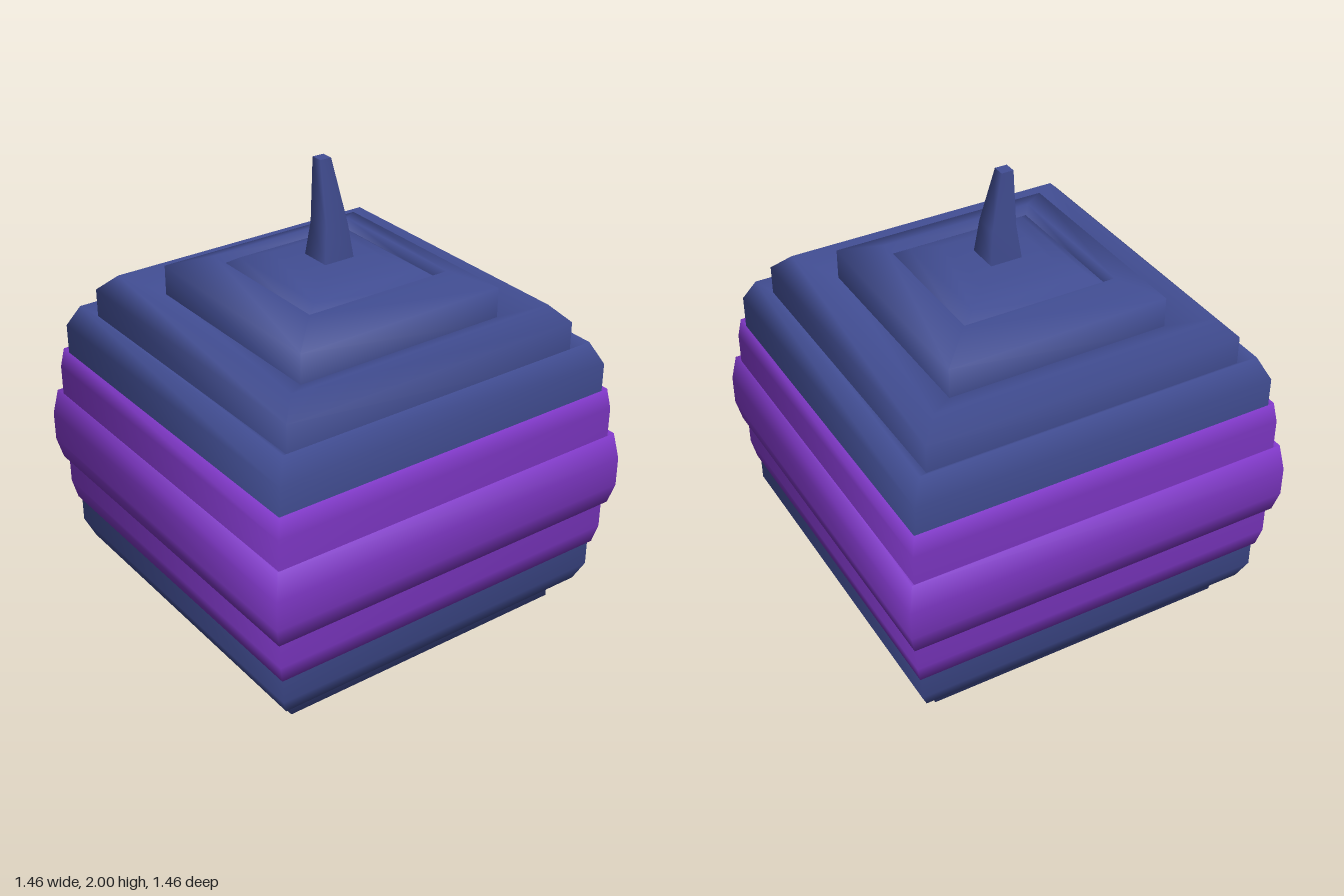
import * as THREE from 'three';

const blue = new THREE.MeshStandardMaterial({ color: 0x424e94, side: THREE.DoubleSide });
blue.name = 'dusk blue';
const purple = new THREE.MeshStandardMaterial({ color: 0x8239cb, side: THREE.DoubleSide });
purple.name = 'violet';

// Four-sided lathe: the profile lists [half width, height] from bottom to top
function squareLathe(profile) {
  const points = profile.map(([half, y]) => new THREE.Vector2(half * Math.SQRT2, y));
  return new THREE.LatheGeometry(points, 4, Math.PI / 4);
}

export function createModel() {
  const model = new THREE.Group();
  model.name = 'squareBandedLantern';

  function add(name, geometry, material) {
    const mesh = new THREE.Mesh(geometry, material);
    mesh.name = name;
    model.add(mesh);
    return mesh;
  }

  // Upper bands: each hangs behind the one below, its lip dips into a groove
  const upper = [
    // name, outer half, hidden bottom, shoulder y, lip half, lip y, groove half, groove y
    ['upperVioletBand', 0.70, 0.97, 1.15, 0.688, 1.225, 0.66, 1.17, purple],
    ['shoulderBand', 0.675, 1.14, 1.32, 0.635, 1.40, 0.57, 1.35, blue],
    ['upperBand', 0.59, 1.33, 1.47, 0.53, 1.53, 0.40, 1.465, blue],
    ['crownBand', 0.41, 1.45, 1.58, 0.285, 1.63, 0.26, 1.585, blue],
  ];
  for (const [name, half, bottom, shoulder, lip, lipY, groove, grooveY, mat] of upper) {
    add(name, squareLathe([[half, bottom], [half, shoulder], [lip, lipY], [groove, grooveY]]), mat);
  }

  // Widest band around the middle
  add('middleBand', squareLathe([
    [0.67, 0.81], [0.715, 0.765], [0.732, 0.84], [0.732, 0.95], [0.715, 1.05], [0.67, 1.01],
  ]), purple);

  // Lower bands, turned the other way up
  const lower = [
    ['lowerVioletBand', 0.70, 0.85, 0.66, 0.685, 0.59, 0.65, 0.64, purple],
    ['lowerBlueBand', 0.675, 0.67, 0.49, 0.645, 0.42, 0.56, 0.47, blue],
    ['taperBand', 0.58, 0.49, 0.33, 0.455, 0.23, 0.35, 0.265, blue],
    ['smallBand', 0.37, 0.28, 0.17, 0.28, 0.12, 0.20, 0.145, blue],
    ['lowestBand', 0.215, 0.16, 0.07, 0.125, 0.025, 0.08, 0.04, blue],
  ];
  for (const [name, half, top, shoulder, lip, lipY, groove, grooveY, mat] of lower) {
    add(name, squareLathe([[groove, grooveY], [lip, lipY], [half, shoulder], [half, top]]), mat);
  }

  // Top cap
  add('topCap', squareLathe([
    [0.28, 1.55], [0.28, 1.59], [0.22, 1.63], [0.14, 1.66], [0, 1.66],
  ]), blue);

  // Foot with a small violet patch
  add('foot', squareLathe([[0, 0], [0.09, 0], [0.092, 0.06]]), blue);
  const patch = add('footPatch', new THREE.BoxGeometry(0.09, 0.025, 0.004), purple);
  patch.position.set(0.046, 0.0135, 0.092);

  // Stem, tapering and bent backwards above its middle
  const stem = squareLathe([
    [0.06, 1.62], [0.059, 1.66], [0.045, 1.78], [0.022, 2.0], [0.022, 2.0], [0, 2.0],
  ]);
  const pos = stem.attributes.position;
  for (let i = 0; i < pos.count; i++) {
    const bend = Math.max(0, pos.getY(i) - 1.78) / 0.22;
    pos.setZ(i, pos.getZ(i) - 0.042 * bend);
  }
  add('stem', stem, blue);

  return model;
}
